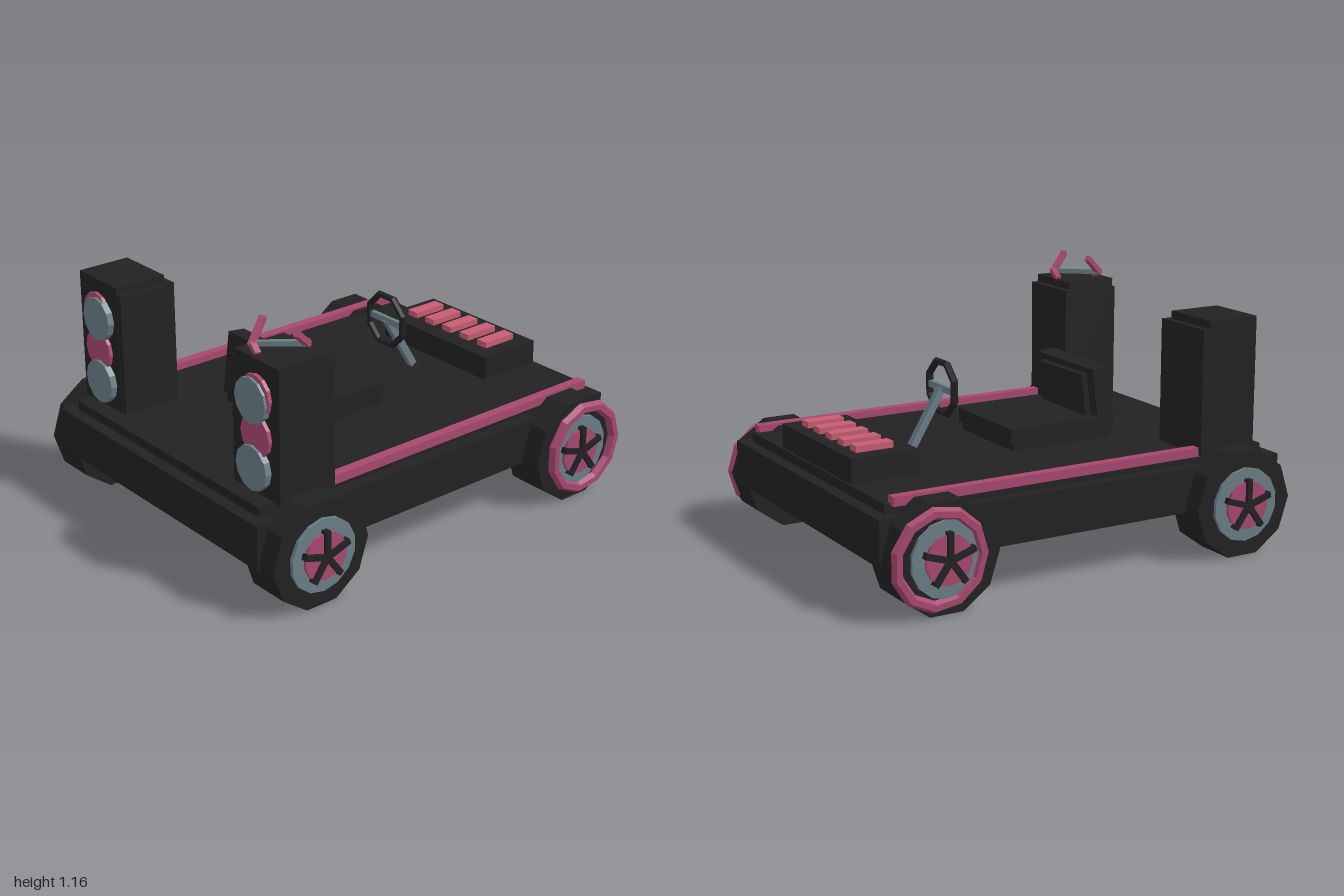
import * as THREE from 'three';

const paint = (name, color) => {
  const m = new THREE.MeshStandardMaterial({ color, flatShading: true });
  m.name = name;
  return m;
};

export function createModel() {
  const black = paint('black', 0x222222);
  const magenta = paint('magenta', 0xa8486f);
  const coral = paint('coral', 0xc75d73);
  const slate = paint('slate', 0x6a7f86);
  const model = new THREE.Group();
  model.name = 'kart';

  const add = (parent, name, geometry, material, x = 0, y = 0, z = 0) => {
    const mesh = new THREE.Mesh(geometry, material);
    mesh.name = name;
    mesh.position.set(x, y, z);
    parent.add(mesh);
    return mesh;
  };
  // box given by its minimum and maximum on each axis
  const block = (parent, name, material, [x0, x1], [y0, y1], [z0, z1]) =>
    add(parent, name, new THREE.BoxGeometry(x1 - x0, y1 - y0, z1 - z0), material,
      (x0 + x1) / 2, (y0 + y1) / 2, (z0 + z1) / 2);
  // square bar between two points
  const bar = (parent, name, material, a, b, width) => {
    const from = new THREE.Vector3(...a), to = new THREE.Vector3(...b);
    const mesh = add(parent, name, new THREE.BoxGeometry(width, width, from.distanceTo(to)), material);
    mesh.position.copy(from).lerp(to, 0.5);
    mesh.lookAt(to);
    return mesh;
  };
  // disc whose axis runs along x
  const wheelDisc = (parent, name, material, r, x0, x1, sides) =>
    add(parent, name, new THREE.CylinderGeometry(r, r, x1 - x0, sides).rotateZ(Math.PI / 2)
      .rotateX(Math.PI / 2), material, (x0 + x1) / 2);

  // chassis
  block(model, 'chassis', black, [-0.72, 0.72], [0.22, 0.42], [-0.99, 1]);
  block(model, 'deck', black, [-0.66, 0.66], [0.42, 0.463], [-0.935, 0.945]);

  // wheels
  for (const side of [1, -1]) {
    for (const z of [0.745, -0.74]) {
      const wheel = new THREE.Group();
      wheel.name = (z > 0 ? 'front' : 'rear') + (side > 0 ? 'Left' : 'Right') + 'Wheel';
      wheel.position.set(0, 0.248, z);
      if (side < 0) wheel.rotation.y = Math.PI;
      model.add(wheel);
      const tyre = wheelDisc(wheel, 'tyre', black, 0.248, 0.62, 0.812, 10);
      tyre.rotation.x = Math.PI / 2;
      wheelDisc(wheel, 'rim', slate, 0.166, 0.8, 0.828, 14);
      wheelDisc(wheel, 'hub', magenta, 0.108, 0.81, 0.842, 14);
      for (let i = 0; i < 5; i++) {
        const a = (i / 5) * Math.PI * 2;
        const spoke = add(wheel, 'spoke', new THREE.BoxGeometry(0.03, 0.12, 0.026), black,
          0.842, Math.cos(a) * 0.06, Math.sin(a) * 0.06);
        spoke.rotation.x = a;
      }
      // bright band on the rear tyres, set slightly towards the back
      if (z < 0) {
        add(wheel, 'tyreBand', new THREE.TorusGeometry(0.197, 0.027, 6, 11).rotateY(Math.PI / 2),
          magenta, 0.82, 0.004, -0.035 * side);
      }
    }
  }

  // side rails
  for (const s of [1, -1]) {
    add(model, 'sideRail', new THREE.BoxGeometry(0.045, 0.04, 1.52), magenta, 0.667 * s, 0.475, -0.15);
  }

  // lamp towers with stacked round lamps
  for (const s of [1, -1]) {
    const tower = new THREE.Group();
    tower.name = s > 0 ? 'leftTower' : 'rightTower';
    model.add(tower);
    add(tower, 'towerBody', new THREE.BoxGeometry(0.31, 0.56, 0.28), black, 0.55 * s, 0.74, 0.725);
    add(tower, 'towerCore', new THREE.BoxGeometry(0.285, 0.595, 0.25), black, 0.563 * s, 0.758, 0.743);
    const lamps = [
      [0.567, 0.903, 0.093, 0.885, magenta], [0.55, 0.88, 0.1, 0.897, slate],
      [0.564, 0.727, 0.093, 0.885, magenta], [0.55, 0.582, 0.1, 0.897, slate],
    ];
    for (const [x, y, r, front, mat] of lamps) {
      const depth = front - 0.855;
      add(tower, 'lamp', new THREE.CylinderGeometry(r, r, depth, 12).rotateX(Math.PI / 2), mat,
        x * s, y, 0.855 + depth / 2);
    }
  }

  // spare handlebar lying on the left tower
  const handle = new THREE.Group();
  handle.name = 'handlebar';
  model.add(handle);
  bar(handle, 'crossBar', slate, [0.475, 1.083, 0.825], [0.615, 1.083, 0.65], 0.022);
  bar(handle, 'grip', magenta, [0.485, 1.075, 0.835], [0.438, 1.16, 0.735], 0.026);
  bar(handle, 'grip', magenta, [0.48, 1.085, 0.825], [0.53, 1.055, 0.835], 0.026);
  bar(handle, 'grip', magenta, [0.61, 1.075, 0.645], [0.658, 1.16, 0.742], 0.026);
  bar(handle, 'grip', magenta, [0.615, 1.085, 0.65], [0.53, 1.055, 0.628], 0.026);

  // seat
  block(model, 'seatBase', black, [-0.23, 0.23], [0.455, 0.505], [-0.08, 0.43]);
  block(model, 'seatCushion', black, [-0.235, 0.235], [0.5, 0.565], [-0.093, 0.43]);
  const back = add(model, 'seatBack', new THREE.BoxGeometry(0.47, 0.285, 0.085), black, 0, 0.648, 0.388);
  back.rotation.x = -0.125;
  add(back, 'backPad', new THREE.BoxGeometry(0.36, 0.24, 0.04), black, 0, -0.005, -0.05);

  // steering wheel and column
  add(model, 'steeringWheel', new THREE.TorusGeometry(0.121, 0.017, 6, 8).rotateZ(Math.PI / 8),
    black, 0, 0.733, -0.31);
  add(model, 'steeringBar', new THREE.BoxGeometry(0.22, 0.03, 0.02), slate, 0, 0.733, -0.312);
  bar(model, 'steeringColumn', slate, [0, 0.735, -0.312], [0, 0.47, -0.472], 0.034);

  // rear console with ribs
  block(model, 'console', black, [-0.345, 0.345], [0.46, 0.573], [-0.925, -0.61]);
  for (let i = -2; i <= 2; i++) {
    add(model, 'consoleRib', new THREE.BoxGeometry(0.06, 0.045, 0.175), coral, i * 0.119, 0.578, -0.777);
  }
  return model;
}
